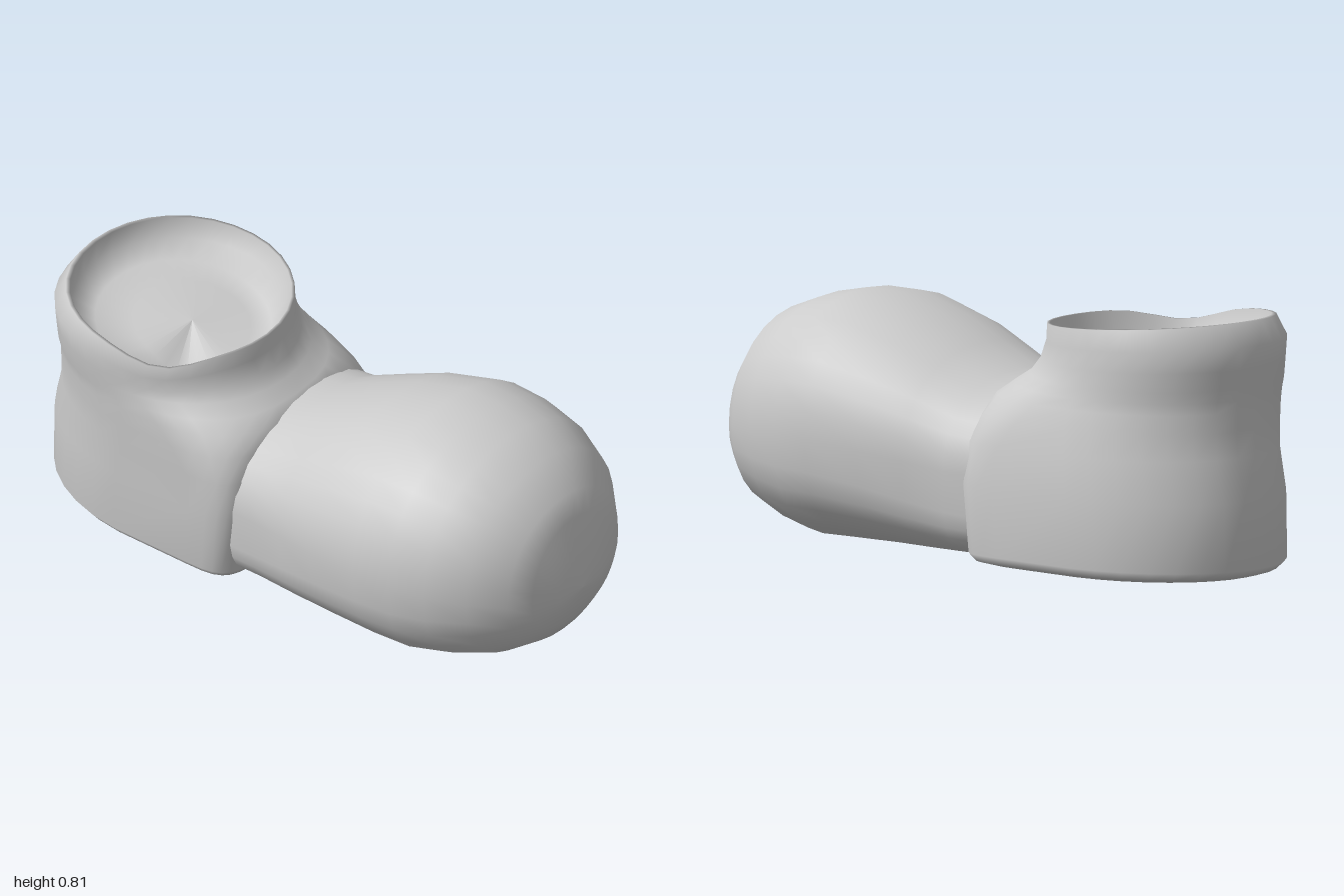
import * as THREE from 'three';

const SIDES = 32;
const material = new THREE.MeshStandardMaterial({ color: 0xcccccc, side: THREE.DoubleSide });

// Skin a stack of closed rings; pointAt(section, angle) gives [x, y, z].
function loft(name, sections, pointAt) {
  const positions = [], index = [];
  sections.forEach((section, i) => {
    for (let j = 0; j < SIDES; j++) {
      positions.push(...pointAt(section, (j / SIDES) * Math.PI * 2));
      if (i === sections.length - 1) continue;
      const a = i * SIDES + j, b = i * SIDES + ((j + 1) % SIDES);
      index.push(a, a + SIDES, b, b, a + SIDES, b + SIDES);
    }
  });
  const geometry = new THREE.BufferGeometry();
  geometry.setAttribute('position', new THREE.Float32BufferAttribute(positions, 3));
  geometry.setIndex(index);
  geometry.computeVertexNormals();
  const mesh = new THREE.Mesh(geometry, material);
  mesh.name = name;
  return mesh;
}

// Superellipse coordinate: n = 2 is round, larger is boxier.
const round = (v, n) => Math.sign(v) * Math.abs(v) ** (2 / n);

export function createModel() {
  const shoe = new THREE.Group();
  shoe.name = 'shoe';

  // Rounded toe and vamp: z, half width, top, bottom, widest height, boxiness of the underside
  const toe = [
    [1.0, 0, 0.3, 0.3, 0.3, 2],
    [0.99, 0.1, 0.39, 0.24, 0.3, 2],
    [0.96, 0.2, 0.54, 0.17, 0.31, 2],
    [0.92, 0.27, 0.6, 0.11, 0.33, 2.1],
    [0.83, 0.36, 0.69, 0.055, 0.35, 2.3],
    [0.71, 0.42, 0.735, 0.025, 0.36, 2.5],
    [0.59, 0.445, 0.76, 0.001, 0.36, 2.6],
    [0.46, 0.455, 0.76, 0.007, 0.36, 2.7],
    [0.27, 0.432, 0.705, 0.014, 0.34, 3],
    [0.12, 0.395, 0.64, 0.018, 0.32, 3.6],
    [-0.02, 0.365, 0.575, 0.021, 0.3, 4.2],
    [-0.13, 0.36, 0.56, 0.024, 0.3, 4.5],
    [-0.4, 0.31, 0.5, 0.035, 0.3, 4.5],
    [-0.4, 0, 0.3, 0.3, 0.3, 4],
  ];
  shoe.add(loft('toe', toe, ([z, w, top, bottom, mid, n], a) => {
    const c = Math.cos(a), s = Math.sin(a);
    return s >= 0
      ? [w * round(c, 2.15), mid + (top - mid) * round(s, 2.15), z]
      : [w * round(c, n), mid + (mid - bottom) * round(s, n), z];
  }));

  // Heel and ankle: y, centre x, half width, back z, front z, front boxiness, rim tilt.
  // The last rings turn inward to a floor that rises toward the back of the opening.
  const heel = [
    [0.024, 0, 0, -0.55, -0.55, 3, 0],
    [0.024, 0, 0.335, -0.93, -0.12, 6, 0],
    [0.035, 0, 0.365, -0.97, -0.1, 7, 0],
    [0.06, 0, 0.385, -0.998, -0.085, 7, 0],
    [0.27, -0.005, 0.388, -0.99, -0.06, 7, 0],
    [0.4, -0.02, 0.382, -0.95, -0.05, 6, 0],
    [0.48, -0.03, 0.378, -0.938, -0.05, 4, 0],
    [0.54, -0.04, 0.372, -0.932, -0.055, 2.9, 0],
    [0.575, -0.045, 0.368, -0.93, -0.09, 2.4, 0],
    [0.61, -0.05, 0.367, -0.93, -0.135, 2.1, 0],
    [0.66, -0.055, 0.365, -0.93, -0.165, 2, 0.4],
    [0.72, -0.06, 0.365, -0.93, -0.185, 2, 0.7],
    [0.78, -0.06, 0.355, -0.885, -0.19, 2, 1],
    [0.78, -0.06, 0.345, -0.87, -0.2, 2, 1],
    [0.71, -0.06, 0.335, -0.87, -0.22, 2, 0.9],
    [0.66, -0.055, 0.27, -0.8, -0.26, 2, 1.5],
    [0.66, -0.05, 0.18, -0.68, -0.32, 2, 1.3],
    [0.67, -0.05, 0, -0.5, -0.5, 2, 0],
  ];
  shoe.add(loft('heelAndAnkle', heel, ([y, cx, w, back, front, n, tilt], a) => {
    const c = Math.cos(a), s = Math.sin(a);
    const power = s > 0 ? n : 2.05;
    const centre = (back + front) / 2;
    // the lower heel narrows toward the back
    const taper = 1 + 0.016 * (n - 2) * s;
    // the rim dips at its front right
    const dip = 0.04 * Math.exp(-(((a - 2.65) / 0.4) ** 2));
    return [
      cx + w * taper * round(c, power),
      y + tilt * (0.01 * c - 0.025 * s - dip),
      centre + ((front - back) / 2) * round(s, power),
    ];
  }));

  return shoe;
}
